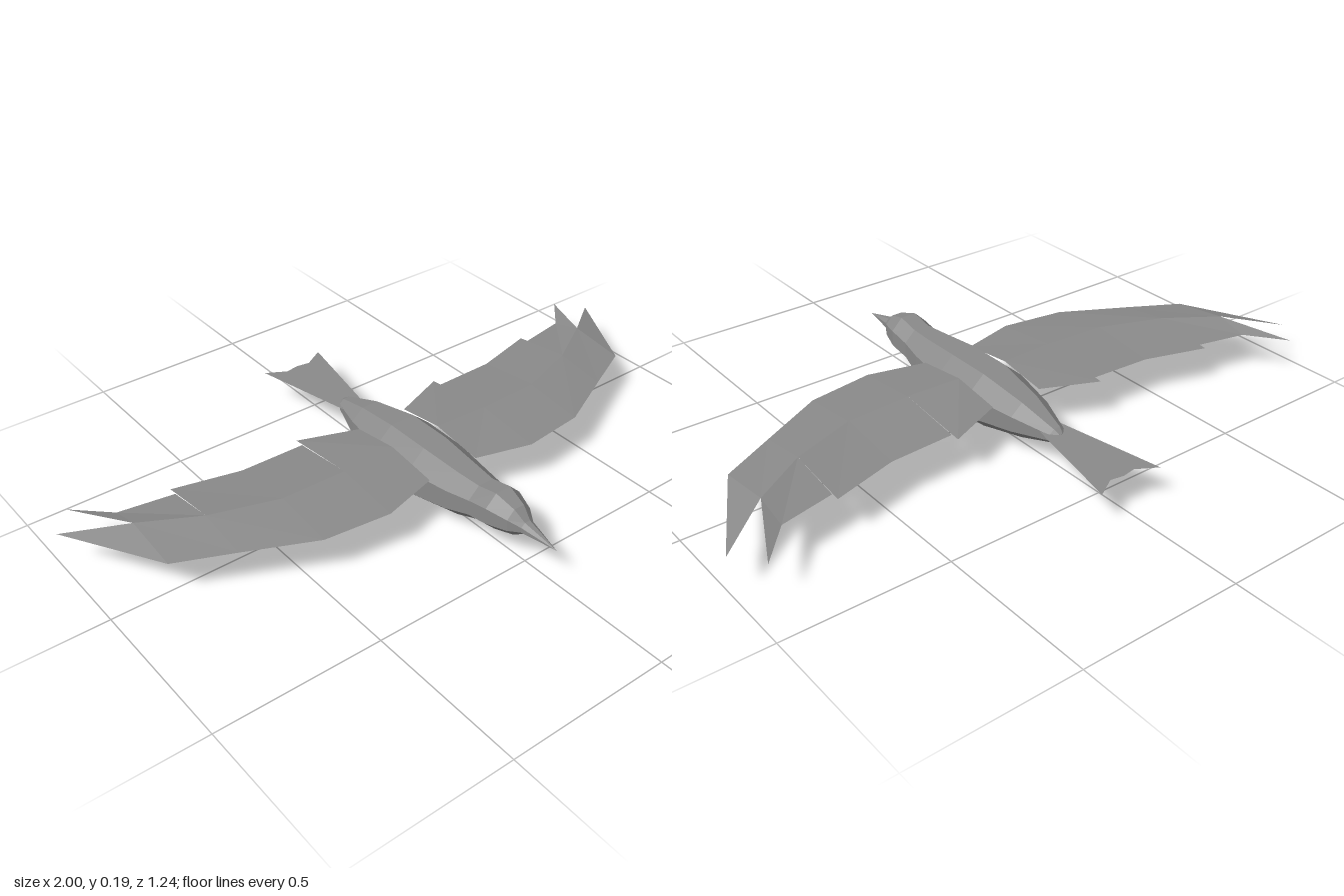
import * as THREE from 'three';

const plumage = new THREE.MeshStandardMaterial({ color: 0x8a8a8a, side: THREE.DoubleSide });
plumage.name = 'grey plumage';

// Flat-shaded mesh from a list of triangles, each three [x, y, z] corners
function facetMesh(name, triangles) {
  const geometry = new THREE.BufferGeometry();
  geometry.setAttribute('position', new THREE.Float32BufferAttribute(triangles.flat(2), 3));
  geometry.computeVertexNormals();
  const mesh = new THREE.Mesh(geometry, plumage);
  mesh.name = name;
  return mesh;
}

const quad = (a, b, c, d) => [[a, b, c], [a, c, d]];

// Eight-sided ring with a flat top and bottom
function ring([z, top, bottom, halfWidth]) {
  const c = Math.cos(Math.PI / 8);
  const mid = (top + bottom) / 2;
  return Array.from({ length: 8 }, (_, k) => {
    const a = (k + 0.5) * Math.PI / 4;
    return [Math.cos(a) / c * halfWidth, mid + Math.sin(a) / c * (top - bottom) / 2, z];
  });
}

function loft(name, sections) {
  const rings = sections.map(ring);
  const triangles = [];
  for (let i = 0; i < rings.length - 1; i++) {
    for (let k = 0; k < 8; k++) {
      const n = (k + 1) % 8;
      triangles.push(...quad(rings[i][k], rings[i + 1][k], rings[i + 1][n], rings[i][n]));
    }
  }
  return facetMesh(name, triangles);
}

// Cambered wing: a front and a back strip meeting along a raised ridge
function wing(name, side) {
  // x, leading z, ridge z, trailing z (inner side), trailing z (outer side), leading y, ridge y, trailing y
  const stations = [
    [0.085, 0.19, 0.02, -0.14, -0.14, 0.137, 0.158, 0.135],
    [0.262, 0.238, 0.028, -0.212, -0.183, 0.134, 0.157, 0.131],
    [0.465, 0.213, 0.02, -0.19, -0.19, 0.131, 0.154, 0.128],
    [0.667, 0.112, -0.05, -0.245, -0.218, 0.127, 0.151, 0.124],
    [0.833, 0.03, -0.15, -0.25, -0.25, 0.122, 0.146, 0.12],
  ];
  const lead = s => [side * s[0], s[5], s[1]];
  const ridge = s => [side * s[0], s[6], s[2]];
  const trail = (s, z) => [side * s[0], s[7], z];
  const triangles = [];
  for (let i = 0; i < stations.length - 1; i++) {
    const a = stations[i], b = stations[i + 1];
    triangles.push(...quad(lead(a), lead(b), ridge(b), ridge(a)));
    triangles.push(...quad(ridge(a), ridge(b), trail(b, b[3]), trail(a, a[4])));
  }
  // Two pointed feathers at the tip
  const end = stations[4];
  triangles.push([lead(end), [side, 0.113, -0.275], ridge(end)]);
  triangles.push([ridge(end), [side * 0.933, 0.113, -0.36], trail(end, end[4])]);
  return facetMesh(name, triangles);
}

export function createModel() {
  const bird = new THREE.Group();
  bird.name = 'bird';

  // Body sections: z, top y, bottom y, half width
  bird.add(loft('body', [
    [0.5, 0.139, 0.101, 0.022],
    [0.465, 0.167, 0.081, 0.042],
    [0.4, 0.187, 0.065, 0.062],
    [0.33, 0.172, 0.055, 0.062],
    [0.25, 0.175, 0.028, 0.078],
    [0.11, 0.184, 0.002, 0.1],
    [-0.04, 0.184, 0.01, 0.1],
    [-0.2, 0.157, 0.043, 0.067],
    [-0.32, 0.121, 0.077, 0.027],
    [-0.338, 0.11, 0.095, 0.012],
    [-0.338, 0.103, 0.103, 0],
  ]));
  bird.add(loft('beak', [[0.615, 0.112, 0.112, 0], [0.5, 0.139, 0.101, 0.022]]));

  bird.add(wing('leftWing', 1), wing('rightWing', -1));

  // Flat tail fan with a notched end
  const root = [0.036, 0.11, -0.28];
  const end = [[0.105, 0.105, -0.622], [0.042, 0.105, -0.585], [0, 0.105, -0.592]];
  const flip = ([x, y, z]) => [-x, y, z];
  const half = [
    [root, end[0], end[1]],
    [root, end[1], end[2]],
    [root, end[2], [0, 0.11, -0.28]],
  ];
  const mirrored = half.map(([a, b, c]) => [flip(a), flip(c), flip(b)]);
  bird.add(facetMesh('tail', [...half, ...mirrored]));

  return bird;
}
